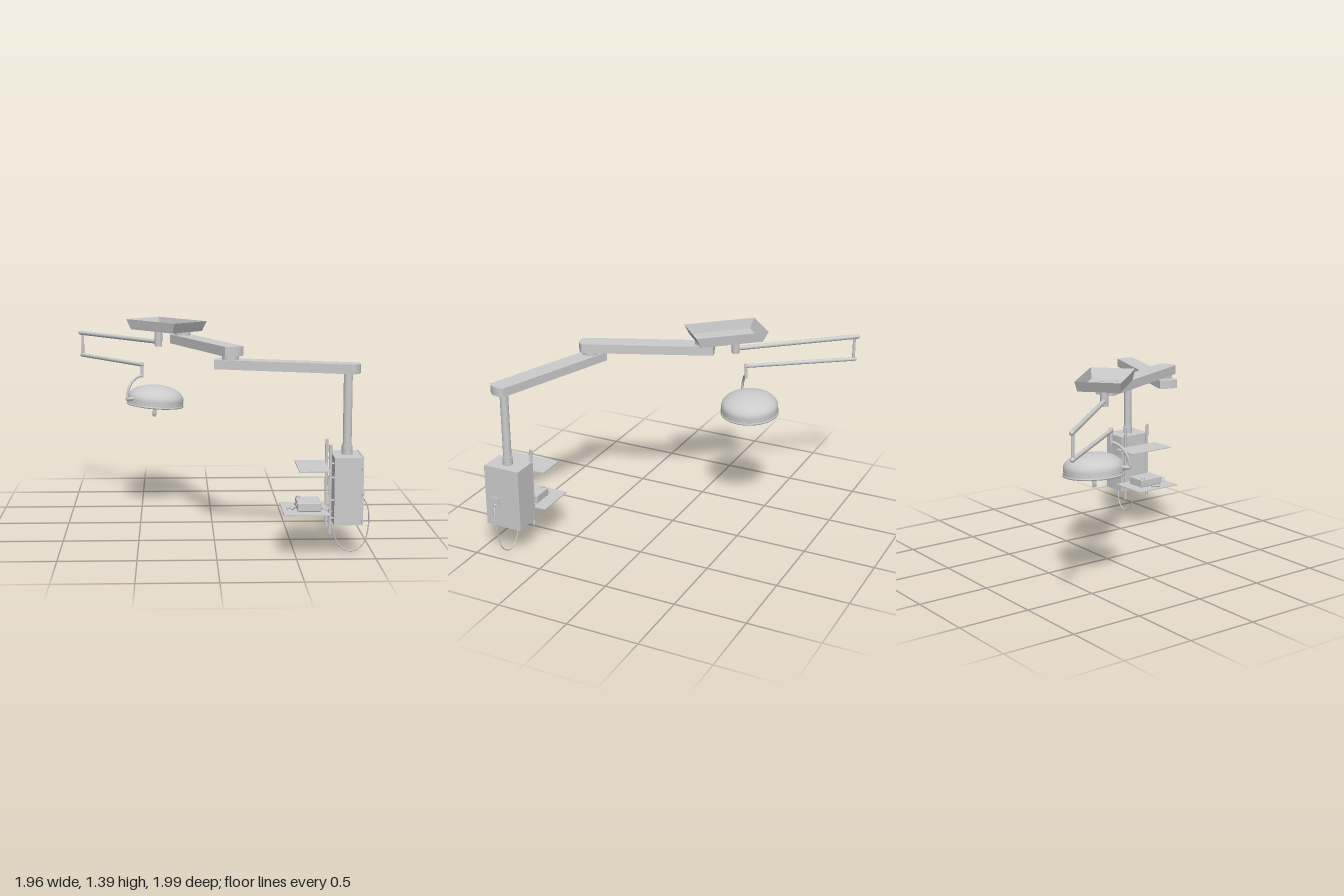
import * as THREE from 'three';
import { RoundedBoxGeometry } from 'three/addons/geometries/RoundedBoxGeometry.js';

const grey = new THREE.MeshStandardMaterial({ color: 0xcccccc });
const greyThin = new THREE.MeshStandardMaterial({ color: 0xcccccc, side: THREE.DoubleSide });
const V = (x, y, z) => new THREE.Vector3(x, y, z);

function add(parent, name, geometry, x = 0, y = 0, z = 0, material = grey) {
  const mesh = new THREE.Mesh(geometry, material);
  mesh.name = name;
  mesh.position.set(x, y, z);
  parent.add(mesh);
  return mesh;
}

const box = (parent, name, x0, x1, y0, y1, z0, z1) =>
  add(parent, name, new THREE.BoxGeometry(x1 - x0, y1 - y0, z1 - z0), (x0 + x1) / 2, (y0 + y1) / 2, (z0 + z1) / 2);

// Upright cylinder between two heights
const post = (parent, name, x, z, y0, y1, r, r2 = r) =>
  add(parent, name, new THREE.CylinderGeometry(r, r2, y1 - y0, 32), x, (y0 + y1) / 2, z);

// Round bar between two points
function rod(parent, name, a, b, r) {
  const d = b.clone().sub(a);
  const mesh = add(parent, name, new THREE.CylinderGeometry(r, r, d.length(), 20));
  mesh.position.copy(a).addScaledVector(d, 0.5);
  mesh.quaternion.setFromUnitVectors(V(0, 1, 0), d.normalize());
  return mesh;
}

const tube = (parent, name, points, r) =>
  add(parent, name, new THREE.TubeGeometry(new THREE.CatmullRomCurve3(points), 64, r, 10));

// Flat beam with bowed ends, running from pivot a past pivot b
function beam(parent, name, a, b, y0, y1, width, back, front) {
  const dx = b[0] - a[0], dz = b[1] - a[1], len = Math.hypot(dx, dz), w = width / 2, bow = 0.045;
  const s = new THREE.Shape();
  s.moveTo(-back, -w);
  s.lineTo(len + front, -w);
  s.quadraticCurveTo(len + front + bow, 0, len + front, w);
  s.lineTo(-back, w);
  s.quadraticCurveTo(-back - bow / 2, 0, -back, -w);
  const g = new THREE.ExtrudeGeometry(s, { depth: y1 - y0, bevelEnabled: false, curveSegments: 16 });
  g.rotateX(-Math.PI / 2);
  add(parent, name, g, a[0], y0, a[1]).rotation.y = Math.atan2(-dz, dx);
}

// Open-topped ceiling tray with sloping walls
function ceilingMount(root) {
  const g = new THREE.BoxGeometry(0.51, 0.07, 0.3);
  const index = Array.from(g.index.array);
  index.splice(12, 6);
  g.setIndex(index);
  g.clearGroups();
  const p = g.attributes.position;
  for (let i = 0; i < p.count; i++) {
    if (p.getY(i) < 0) p.setXYZ(i, p.getX(i) * 0.86, p.getY(i), p.getZ(i) * 0.93);
  }
  g.computeVertexNormals();
  add(root, 'ceilingTray', g, -0.315, 1.365, -0.25, greyThin).rotation.y = -0.84;
  post(root, 'trayCap', -0.315, -0.25, 1.331, 1.336, 0.045);
}

// Two-part swivel arm with pivots and drop column
function swivelArm(root) {
  const p0 = [-0.2, -0.13], p1 = [0.1, 0.58], p2 = [0.83, 0.82];
  post(root, 'ceilingPivot', ...p0, 1.305, 1.332, 0.055);
  beam(root, 'upperArm', p0, p1, 1.245, 1.308, 0.13, 0.07, 0.055);
  post(root, 'elbowPivot', ...p1, 1.215, 1.25, 0.055);
  beam(root, 'lowerArm', p1, p2, 1.16, 1.22, 0.13, 0.09, 0.055);
  post(root, 'dropColumn', ...p2, 0.64, 1.165, 0.028);
  post(root, 'columnCollar', ...p2, 0.64, 0.7, 0.034);
}

// Supply cabinet with rails, shelves, instrument and cable
function cabinet(root) {
  const g = new THREE.Group();
  g.name = 'supplyCabinet';
  root.add(g);
  box(g, 'cabinetBody', 0.738, 0.913, 0.21, 0.642, 0.688, 0.948);
  box(g, 'cabinetPanel', 0.913, 0.921, 0.207, 0.645, 0.686, 0.95);

  for (const z of [0.71, 0.92]) {
    post(g, 'shelfRail', 0.714, z, 0.15, 0.72, 0.01);
    for (const y of [0.25, 0.365, 0.51, 0.6]) rod(g, 'railSpacer', V(0.714, y, z), V(0.745, y, z), 0.007);
  }
  box(g, 'upperShelf', 0.515, 0.71, 0.558, 0.565, 0.62, 0.995);
  box(g, 'lowerShelf', 0.42, 0.71, 0.281, 0.288, 0.62, 0.99);

  // Instrument on the lower shelf
  add(g, 'instrument', new RoundedBoxGeometry(0.15, 0.058, 0.2, 2, 0.006), 0.587, 0.317, 0.81);
  post(g, 'instrumentKnob', 0.53, 0.74, 0.345, 0.355, 0.012);
  rod(g, 'instrumentSocket', V(0.515, 0.315, 0.76), V(0.502, 0.315, 0.76), 0.011);
  tube(g, 'instrumentLead', [V(0.51, 0.345, 0.9), V(0.5, 0.33, 0.92), V(0.485, 0.3, 0.88),
    V(0.47, 0.293, 0.82), V(0.455, 0.293, 0.79)], 0.003);
  rod(g, 'handpiece', V(0.45, 0.293, 0.84), V(0.475, 0.297, 0.78), 0.006);
  tube(g, 'rearLead', [V(0.66, 0.305, 0.87), V(0.685, 0.305, 0.9), V(0.71, 0.29, 0.9), V(0.74, 0.28, 0.87)], 0.004);

  // Outlet and hanging cable
  box(g, 'outletPlate', 0.92, 0.927, 0.345, 0.425, 0.842, 0.905);
  box(g, 'outletLid', 0.926, 0.934, 0.385, 0.417, 0.85, 0.897);
  rod(g, 'plug', V(0.925, 0.365, 0.873), V(0.942, 0.362, 0.873), 0.009);
  tube(g, 'powerCable', [V(0.935, 0.362, 0.873), V(0.962, 0.31, 0.863), V(0.972, 0.18, 0.84),
    V(0.94, 0.055, 0.825), V(0.865, 0.009, 0.817), V(0.79, 0.045, 0.815),
    V(0.75, 0.14, 0.815), V(0.732, 0.25, 0.815), V(0.745, 0.28, 0.815)], 0.004);
}

// Folding tubular arm carrying the lamp
function lampArm(root) {
  post(root, 'lampPivot', -0.37, -0.3, 1.21, 1.332, 0.029, 0.026);
  const bars = [
    ['upperLampBar', V(-0.37, 1.243, -0.3), V(-0.965, 1.243, -0.98), 0.016],
    ['lowerLampBar', V(-0.955, 1.076, -0.97), V(-0.488, 1.076, -0.333), 0.014],
  ];
  for (const [name, a, b, r] of bars) {
    rod(root, name, a, b, r);
    for (const end of [a, b]) add(root, 'barCap', new THREE.SphereGeometry(r, 16, 12), end.x, end.y, end.z);
  }
  post(root, 'lampLink', -0.948, -0.962, 1.06, 1.243, 0.01);
  post(root, 'lampPin', -0.488, -0.333, 0.985, 1.092, 0.011);
  tube(root, 'lampYoke', [V(-0.488, 1.0, -0.333), V(-0.53, 0.985, -0.307), V(-0.57, 0.94, -0.282),
    V(-0.588, 0.89, -0.267), V(-0.592, 0.835, -0.264)], 0.009);
  rod(root, 'yokePivot', V(-0.598, 0.84, -0.26), V(-0.53, 0.838, -0.31), 0.013);
}

// Domed surgical lamp, slightly tilted
function lamp(root) {
  const g = new THREE.Group();
  g.name = 'lampHead';
  g.position.set(-0.398, 0.775, -0.405);
  g.rotation.z = -0.08;
  root.add(g);
  const lathe = (name, pts) =>
    add(g, name, new THREE.LatheGeometry(pts.map(([r, y]) => new THREE.Vector2(r, y)), 48), 0, 0, 0, greyThin);

  const dome = [];
  for (let i = 0; i <= 14; i++) {
    const a = (i / 14) * Math.PI / 2;
    dome.push([0.2 * Math.cos(a), 0.05 + 0.095 * Math.sin(a)]);
  }
  lathe('lampDome', dome);
  lathe('lampBand', [[0.2, 0.05], [0.201, 0.012]]);
  lathe('lampRim', [[0.201, 0.012], [0.205, 0.008], [0.205, 0], [0.19, -0.003], [0.183, 0.005]]);
  lathe('lampGlass', [[0.183, 0.005], [0, 0.005]]);
  lathe('handleBase', [[0.045, 0.005], [0.04, -0.004], [0, -0.004]]);
  lathe('lampHandle', [[0.02, 0], [0.018, -0.018], [0.012, -0.025], [0.015, -0.05], [0.012, -0.083], [0, -0.086]]);

  // Lenses below and screws around the band
  for (const [count, r] of [[8, 0.085], [16, 0.145]]) {
    for (let i = 0; i < count; i++) {
      const a = (i / count) * Math.PI * 2;
      add(g, 'lens', new THREE.CylinderGeometry(0.018, 0.016, 0.005, 16), r * Math.cos(a), 0.003, r * Math.sin(a));
    }
  }
  for (let i = 0; i < 16; i++) {
    const a = (i / 16) * Math.PI * 2;
    add(g, 'bandScrew', new THREE.SphereGeometry(0.004, 8, 6), 0.2 * Math.cos(a), 0.03, 0.2 * Math.sin(a));
  }
}

export function createModel() {
  const root = new THREE.Group();
  root.name = 'ceilingSurgicalUnit';
  ceilingMount(root);
  swivelArm(root);
  cabinet(root);
  lampArm(root);
  lamp(root);
  return root;
}
